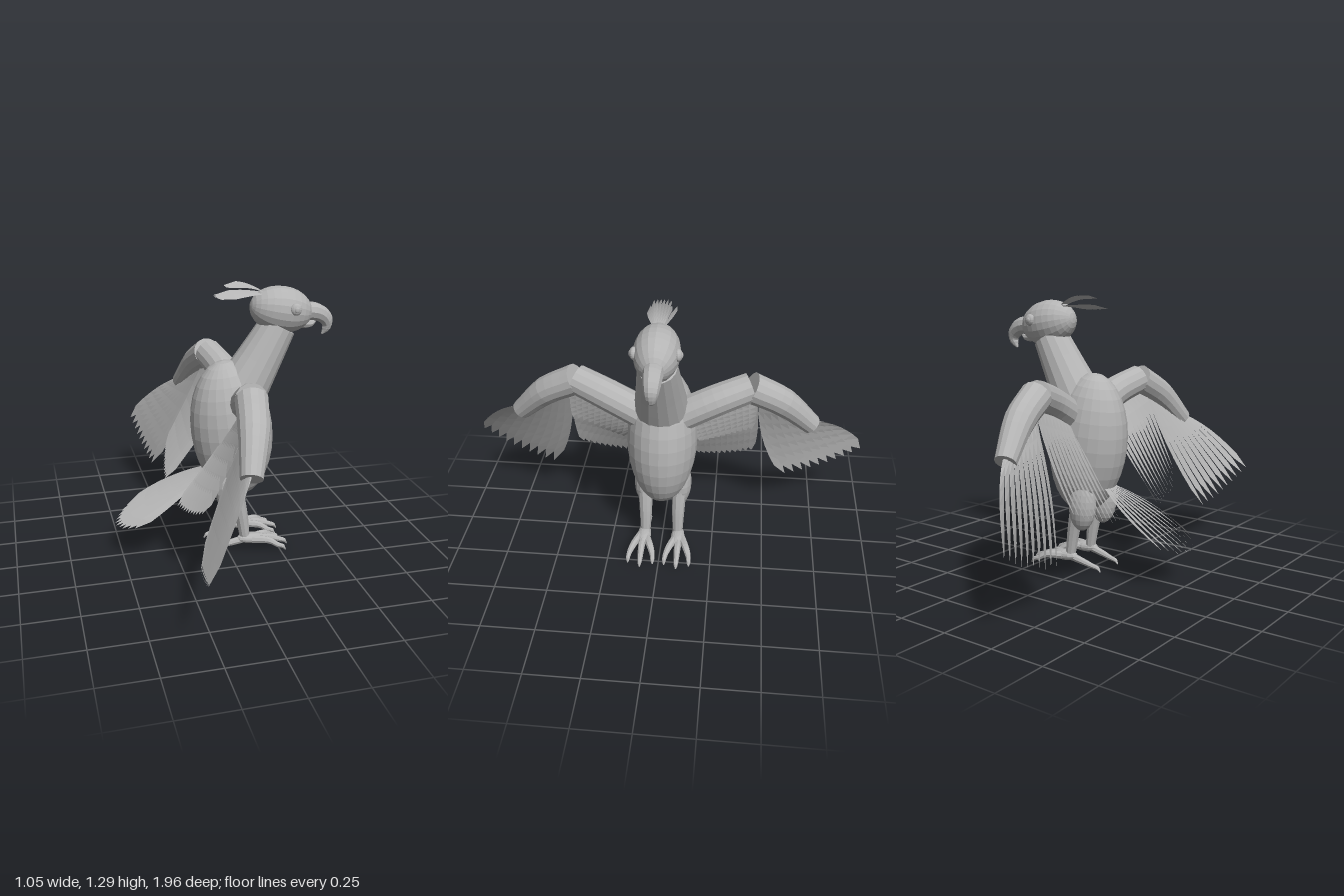
import * as THREE from 'three';

const V = (a) => new THREE.Vector3(...a);
const grey = new THREE.MeshStandardMaterial({ color: 0xb4b4b4, flatShading: true });
grey.name = 'plumageGrey';
const greyThin = grey.clone();
greyThin.name = 'plumageGrey';
greyThin.side = THREE.DoubleSide;

function part(name, geo, parent, mat = grey) {
  const m = new THREE.Mesh(geo, mat);
  m.name = name;
  parent.add(m);
  return m;
}

// Ellipsoid with its pole axis vertical, tilted about z
function ellipsoid(name, parent, pos, radii, tilt = 0, w = 24, h = 16) {
  const m = part(name, new THREE.SphereGeometry(1, w, h), parent);
  m.scale.set(...radii);
  m.position.set(...pos);
  m.rotation.z = tilt;
  return m;
}

// Closed tube along points with a radius per point
function limb(name, parent, points, radii, sides = 12, n = 16) {
  const curve = new THREE.CatmullRomCurve3(points.map(V));
  const geo = new THREE.TubeGeometry(curve, n, 1, sides);
  const p = geo.attributes.position;
  const v = new THREE.Vector3();
  for (let i = 0; i <= n; i++) {
    const ring = Math.min(Math.max(i, 1), n - 1);
    const u = (ring - 1) / (n - 2);
    const k = u * (radii.length - 1);
    const a = Math.min(Math.floor(k), radii.length - 2);
    const r = i === ring ? THREE.MathUtils.lerp(radii[a], radii[a + 1], k - a) : 0;
    const ringCentre = curve.getPointAt(i / n);
    const centre = curve.getPoint(u);
    for (let j = 0; j <= sides; j++) {
      const q = i * (sides + 1) + j;
      v.fromBufferAttribute(p, q).sub(ringCentre).multiplyScalar(r).add(centre);
      p.setXYZ(q, v.x, v.y, v.z);
    }
  }
  geo.computeVertexNormals();
  return part(name, geo, parent);
}

// Row of overlapping pointed feathers; root, mid and tip each run from point A to point B
function feathers(name, parent, { root, mid, tip, n, bulge = [0, 0, 0], notch = 0.85, lift = 0.012 }) {
  const [r, m, t] = [root, mid, tip].map((ends) => ends.map(V));
  const out = V(bulge);
  const normal = t[0].clone().sub(r[0]).cross(t[1].clone().sub(t[0])).normalize();
  const at = (u, s) => {
    const R = r[0].clone().lerp(r[1], u);
    const M = m[0].clone().lerp(m[1], u);
    const T = t[0].clone().lerp(t[1], u).addScaledVector(out, 4 * u * (1 - u));
    return R.multiplyScalar((1 - s) ** 2).addScaledVector(M, 2 * s * (1 - s)).addScaledVector(T, s * s);
  };
  const pos = [], idx = [], steps = 6;
  for (let i = 0; i < n; i++) {
    const base = pos.length / 3;
    const u0 = i / n, u1 = Math.min(1, (i + 1.25) / n), uc = (i + 0.5) / n;
    for (let k = 0; k <= steps; k++) {
      const s = notch * k / steps;
      pos.push(...at(u0, s).addScaledVector(normal, lift * s));
      pos.push(...at(u1, s).addScaledVector(normal, -lift * s));
      if (k < steps) {
        const a = base + 2 * k;
        idx.push(a, a + 1, a + 2, a + 1, a + 3, a + 2);
      }
    }
    // Pointed end
    const e = base + 2 * steps;
    pos.push(...at(uc, 1));
    idx.push(e, e + 1, e + 2);
  }
  const geo = new THREE.BufferGeometry();
  geo.setAttribute('position', new THREE.Float32BufferAttribute(pos, 3));
  geo.setIndex(idx);
  geo.computeVertexNormals();
  return part(name, geo, parent, greyThin);
}

// Wing, leg and eye of one side, built toward +z
function buildSide(side) {
  const g = new THREE.Group();
  const z = (a) => [a[0], a[1], a[2] * side];
  const row = (name, o) => feathers(name, g, {
    ...o, root: o.root.map(z), mid: o.mid.map(z), tip: o.tip.map(z), bulge: z(o.bulge || [0, 0, 0]),
  });

  // Wing arm, bent at the elbow
  const elbow = [0.02, 0.877, 0.4];
  limb('upperArm', g, [[0.075, 0.74, 0.08], [0.06, 0.825, 0.25], elbow].map(z), [0.076, 0.074, 0.07], 14, 10);
  limb('forearm', g, [elbow, [-0.012, 0.79, 0.55], [-0.062, 0.645, 0.695]].map(z), [0.073, 0.068, 0.048], 14, 10);

  // Flight feathers
  row('primaryFeathers', {
    root: [[-0.07, 0.66, 0.72], [0.0, 0.8, 0.44]],
    mid: [[-0.17, 0.58, 0.88], [-0.12, 0.5, 0.44]],
    tip: [[-0.31, 0.37, 1.0], [-0.25, 0.21, 0.585]],
    bulge: [0, -0.02, 0.01], n: 10, notch: 0.84,
  });
  row('secondaryFeathers', {
    root: [[0.01, 0.84, 0.43], [0.04, 0.72, 0.13]],
    mid: [[-0.09, 0.58, 0.46], [-0.08, 0.53, 0.14]],
    tip: [[-0.2, 0.39, 0.44], [-0.26, 0.31, 0.15]],
    bulge: [-0.01, -0.02, 0], n: 11, notch: 0.88,
  });
  row('covertFeathers', {
    root: [[0.04, 0.84, 0.43], [0.08, 0.74, 0.13]],
    mid: [[0.02, 0.73, 0.44], [0.06, 0.63, 0.15]],
    tip: [[-0.02, 0.63, 0.43], [-0.01, 0.55, 0.18]],
    n: 10, notch: 0.85,
  });

  // Leg
  ellipsoid('thigh', g, z([0.012, 0.32, 0.085]), [0.07, 0.122, 0.055], 0.06, 16, 12);
  limb('shin', g, [[0.045, 0.3, 0.083], [0.07, 0.18, 0.08], [0.088, 0.06, 0.08]].map(z), [0.036, 0.031, 0.024], 10);

  // Foot with three front toes and one back toe
  ellipsoid('footPad', g, z([0.12, 0.06, 0.083]), [0.075, 0.026, 0.034], -0.05, 12, 8);
  for (const spread of [-1, 0, 1]) {
    const c = 0.088, x = 0.3 - 0.025 * Math.abs(spread);
    limb('frontToe', g, [
      [0.12, 0.06, c + spread * 0.012], [0.2, 0.057, c + spread * 0.042],
      [x - 0.04, 0.037, c + spread * 0.056], [x - 0.01, 0.025, c + spread * 0.06], [x, 0.008, c + spread * 0.06],
    ].map(z), [0.02, 0.017, 0.013, 0.01, 0.003], 8);
  }
  limb('backToe', g, [[0.1, 0.062, 0.083], [0.03, 0.047, 0.08], [-0.04, 0.03, 0.075], [-0.073, 0.022, 0.073], [-0.083, 0.007, 0.073]].map(z),
    [0.02, 0.017, 0.012, 0.009, 0.003], 8);

  // Eye with a raised pupil
  ellipsoid('eye', g, z([0.315, 1.182, 0.092]), [0.028, 0.028, 0.018], 0, 14, 10);
  ellipsoid('pupil', g, z([0.315, 1.182, 0.107]), [0.013, 0.013, 0.006], 0, 10, 6);
  return g;
}

export function createModel() {
  const bird = new THREE.Group();
  bird.name = 'bird';

  // Trunk, neck and head
  ellipsoid('body', bird, [0.04, 0.605, 0], [0.195, 0.34, 0.165], 0.13);
  limb('neck', bird, [[0.07, 0.77, 0], [0.165, 0.93, 0], [0.26, 1.095, 0]], [0.128, 0.106, 0.086], 16, 8);
  const head = ellipsoid('head', bird, [0.273, 1.167, 0], [0.108, 0.15, 0.1], Math.PI / 2 - 0.18, 20, 14);
  head.name = 'head';

  // Hooked upper beak and small lower beak
  limb('upperBeak', bird, [[0.38, 1.152, 0], [0.43, 1.151, 0], [0.477, 1.131, 0], [0.503, 1.096, 0], [0.496, 1.063, 0], [0.476, 1.04, 0]],
    [0.044, 0.043, 0.038, 0.029, 0.019, 0.004], 10);
  limb('lowerBeak', bird, [[0.36, 1.102, 0], [0.4, 1.092, 0], [0.425, 1.093, 0], [0.442, 1.104, 0]], [0.026, 0.02, 0.015, 0.005], 8, 8);

  // Crest of two feather layers
  [[1.285, 0.0, 0.045], [1.237, -0.045, 0.07]].forEach(([y, x, w]) => feathers('crest', bird, {
    root: [[0.2, 1.245, -0.02], [0.2, 1.245, 0.02]],
    mid: [[0.1, y + 0.02, -w], [0.1, y + 0.02, w]],
    tip: [[x + 0.02, y, -w], [x + 0.02, y, w]],
    bulge: [-0.02, 0, 0], n: 6, notch: 0.72,
  }));

  // Tail fan
  feathers('tailFeathers', bird, {
    root: [[-0.08, 0.415, -0.04], [-0.08, 0.415, 0.04]],
    mid: [[-0.27, 0.325, -0.17], [-0.27, 0.325, 0.17]],
    tip: [[-0.44, 0.21, -0.145], [-0.44, 0.21, 0.145]],
    bulge: [-0.09, -0.04, 0], n: 10, notch: 0.85,
  });

  // Mirrored halves
  for (const side of [1, -1]) {
    const half = buildSide(side);
    half.name = side > 0 ? 'farHalf' : 'nearHalf';
    bird.add(half);
  }
  return bird;
}
